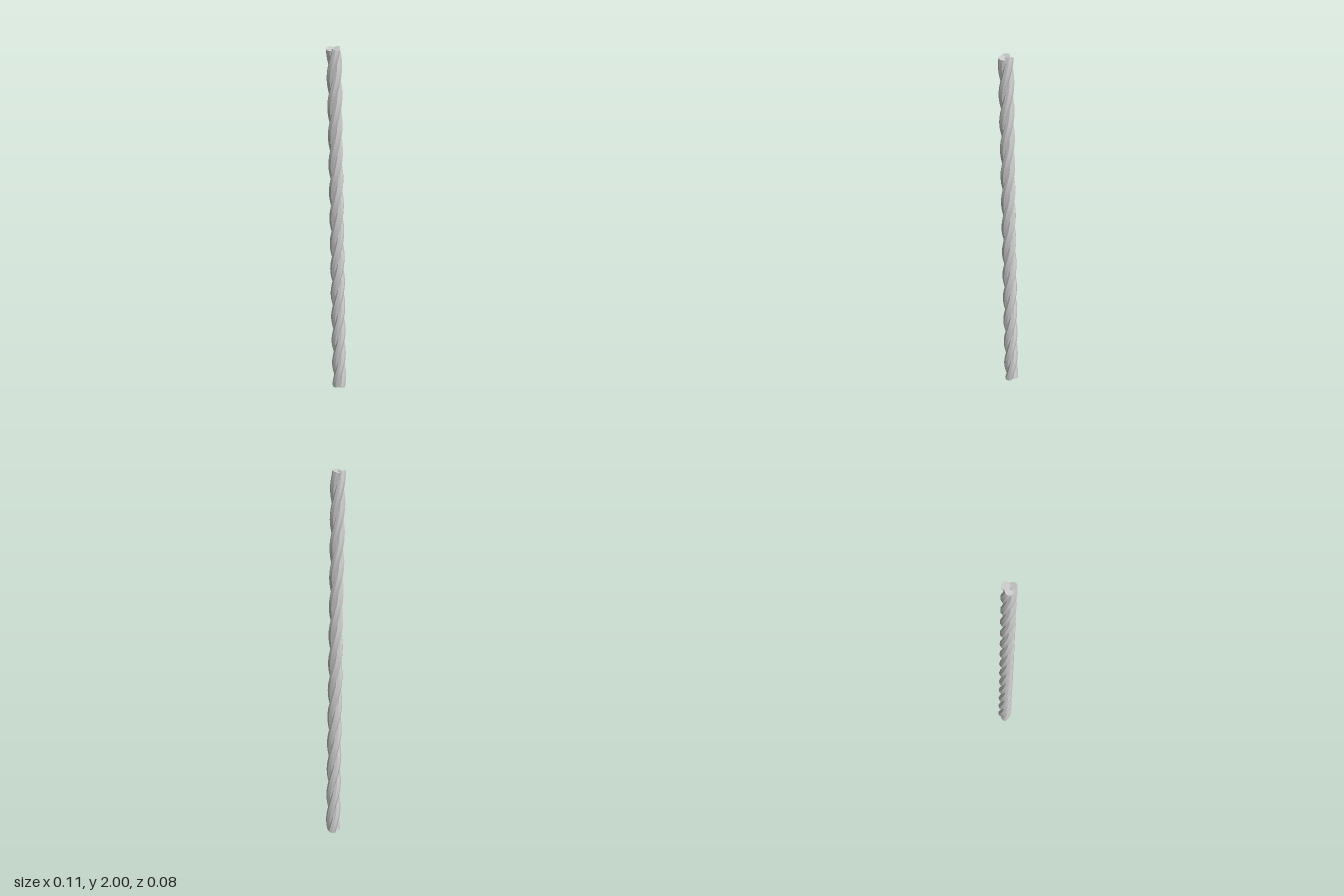
import * as THREE from 'three';

const STRANDS = 3, TURNS = 4.33, OFFSET = 0.018, RADIUS = 0.021, SIDES = 8;
const BOTTOM = new THREE.Vector3(0.019, 0.005, -0.003);
const TOP = new THREE.Vector3(-0.019, 1.995, 0.002);

// Right-handed helix wound around the slightly leaning rope axis
class StrandCurve extends THREE.Curve {
  constructor(phase) {
    super();
    this.phase = phase;
  }
  getPoint(t, target = new THREE.Vector3()) {
    const a = this.phase + (t - 1) * TURNS * Math.PI * 2;
    target.lerpVectors(BOTTOM, TOP, t);
    target.x += Math.sin(a) * OFFSET;
    target.z += Math.cos(a) * OFFSET;
    return target;
  }
}

export function createModel() {
  const rope = new THREE.Group();
  rope.name = 'rope';
  const material = new THREE.MeshStandardMaterial({ color: 0xcccccc, flatShading: true });

  for (let i = 0; i < STRANDS; i++) {
    const curve = new StrandCurve((i / STRANDS) * Math.PI * 2);
    const strand = new THREE.Group();
    strand.name = 'strand' + (i + 1);

    const tube = new THREE.Mesh(new THREE.TubeGeometry(curve, 120, RADIUS, SIDES), material);
    tube.name = 'strandBody';
    strand.add(tube);

    // Cut ends, square to the strand
    for (const t of [0, 1]) {
      const cap = new THREE.Mesh(new THREE.CircleGeometry(RADIUS, 16), material);
      cap.name = t ? 'topEnd' : 'bottomEnd';
      cap.position.copy(curve.getPoint(t));
      const outward = curve.getTangent(t).multiplyScalar(t ? 1 : -1);
      cap.quaternion.setFromUnitVectors(new THREE.Vector3(0, 0, 1), outward);
      strand.add(cap);
    }
    rope.add(strand);
  }
  return rope;
}
